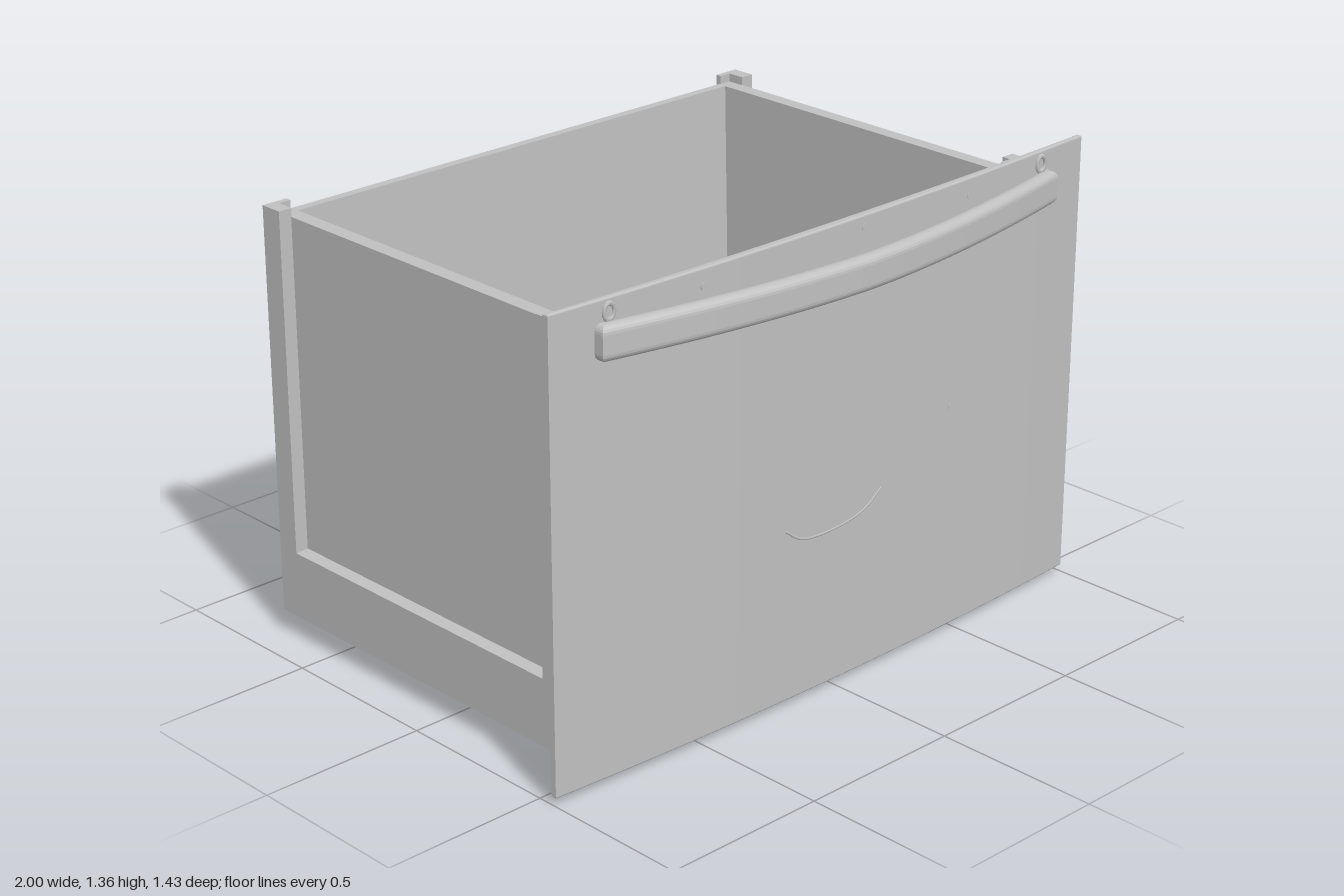
import * as THREE from 'three';

const steel = new THREE.MeshStandardMaterial({ color: 0xc0c0c0 });
steel.name = 'light grey steel';

export function createModel() {
  const model = new THREE.Group();
  const add = (name, geometry, x = 0, y = 0, z = 0) => {
    const mesh = new THREE.Mesh(geometry, steel);
    mesh.name = name;
    mesh.position.set(x, y, z);
    model.add(mesh);
    return mesh;
  };

  // Stacked rectangular rings [halfWidth, zBack, zFront, y] joined by flat walls
  const loftRings = (rings) => {
    const corners = rings.map(([hx, z0, z1, y]) =>
      [[-hx, y, z1], [hx, y, z1], [hx, y, z0], [-hx, y, z0]]);
    const points = [];
    for (let r = 0; r < rings.length - 1; r++) {
      for (let i = 0; i < 4; i++) {
        const j = (i + 1) % 4;
        const [a, b, c, d] = [corners[r][i], corners[r][j], corners[r + 1][j], corners[r + 1][i]];
        points.push(...a, ...b, ...c, ...a, ...c, ...d);
      }
    }
    const g = new THREE.BufferGeometry();
    g.setAttribute('position', new THREE.Float32BufferAttribute(points, 3));
    g.computeVertexNormals();
    return g;
  };

  // Extrude an outline of [x, z] points upwards from y = 0
  const extrudePlan = (outline, height, bevel = 0) => {
    const shape = new THREE.Shape(outline.map(([x, z]) => new THREE.Vector2(x, -z)));
    const g = new THREE.ExtrudeGeometry(shape, {
      depth: height - 2 * bevel, bevelEnabled: bevel > 0, bevelSize: bevel,
      bevelThickness: bevel, bevelOffset: -bevel, bevelSegments: 5,
    });
    g.rotateX(-Math.PI / 2);
    g.translate(0, bevel, 0);
    return g;
  };

  // Closed outline between a front curve and a back curve, both bowed in plan
  const bowedPlan = (half, front, back, steps = 32) => {
    const outline = [];
    for (let i = 0; i <= steps; i++) {
      const x = half * (2 * i / steps - 1);
      outline.push([x, front(x)]);
    }
    for (let i = steps; i >= 0; i--) {
      const x = half * (2 * i / steps - 1);
      outline.push([x, back(x)]);
    }
    return outline;
  };

  // Bin: recessed underside, skirt, inset walls, narrow rim, tapered inside and floor
  add('bin', loftRings([
    [0, -0.12, -0.12, 0.09],
    [0.83, -0.65, 0.40, 0.09],
    [0.83, -0.65, 0.40, 0.07],
    [0.895, -0.715, 0.47, 0.07],
    [0.895, -0.715, 0.47, 0.27],
    [0.855, -0.70, 0.425, 0.272],
    [0.855, -0.70, 0.425, 1.26],
    [0.81, -0.672, 0.405, 1.26],
    [0.80, -0.635, 0.365, 0.12],
    [0, -0.12, -0.12, 0.12],
  ]));

  // L-shaped corner posts rising a little above the rim
  for (const sx of [-1, 1]) {
    for (const [zOut, dir, thick] of [[-0.715, 1, 0.018], [0.47, -1, 0.045]]) {
      const outline = [
        [0.895, 0], [0.895, 0.072], [0.853, 0.072], [0.853, thick], [0.815, thick], [0.815, 0],
      ].map(([x, d]) => [sx * x, zOut + dir * d]);
      add('cornerPost', extrudePlan(outline, 1.285 - 0.25), 0, 0.25, 0);
    }
  }

  // Bowed front panel with side edges turned back
  const panelFront = (x) => 0.595 - 0.035 * x * x;
  const panelBack = (x) => 0.57 - 0.025 * x * x;
  add('frontPanel', extrudePlan(bowedPlan(0.998, panelFront, panelBack), 1.335, 0.006), 0, 0.02, 0);
  for (const s of [-1, 1]) {
    add('panelEdge', new THREE.BoxGeometry(0.012, 1.32, 0.016), s * 0.99, 0.69, 0.547);
  }

  // Shallow crease in the panel face
  const crease = new THREE.CatmullRomCurve3([
    [-0.2, 0.53], [-0.14, 0.49], [-0.02, 0.48], [0.1, 0.5], [0.17, 0.545],
  ].map(([x, y]) => new THREE.Vector3(x, y, panelFront(x) - 0.002)));
  add('panelCrease', new THREE.TubeGeometry(crease, 24, 0.004, 6));

  // Curved pull handle standing off the panel at its middle
  const handleFront = (x) => 0.715 - 0.115 * Math.abs(x / 0.855) ** 1.7;
  add('handle', extrudePlan(
    bowedPlan(0.855, handleFront, (x) => handleFront(x) - 0.05), 0.1, 0.023), 0, 1.195, 0);

  // Handle clips and curled lower corner tabs
  for (const s of [-1, 1]) {
    const clip = add('handleClip', new THREE.TorusGeometry(0.017, 0.006, 6, 16), s * 0.81, 1.318, panelFront(0.81) + 0.002);
    clip.scale.y = 1.3;
    add('handleClipBack', new THREE.BoxGeometry(0.13, 0.03, 0.008), s * 0.83, 1.27, panelBack(0.83) - 0.003);
    const tab = new THREE.ShapeGeometry(new THREE.Shape([
      [0.99, 0.56], [0.98, 0.51], [0.82, 0.51], [0.7, 0.472], [0.78, 0.56],
    ].map(([x, z]) => new THREE.Vector2(s * x, z))));
    tab.rotateX(Math.PI / 2);
    const p = tab.attributes.position;
    for (let i = 0; i < p.count; i++) p.setY(i, Math.max(0, (p.getZ(i) - 0.51) * 0.4));
    tab.computeVertexNormals();
    add('cornerTab', tab);
  }

  // Small screw heads on the panel
  for (const [x, y] of [[-0.5, 1.305], [0.08, 1.32], [0.5, 1.305], [0.45, 0.7]]) {
    const disc = new THREE.CylinderGeometry(0.01, 0.01, 0.004, 12).rotateX(Math.PI / 2);
    add('screwHead', disc, x, y, panelFront(x));
    if (y > 1) add('screwBack', disc, x, y, panelBack(x));
  }

  return model;
}
